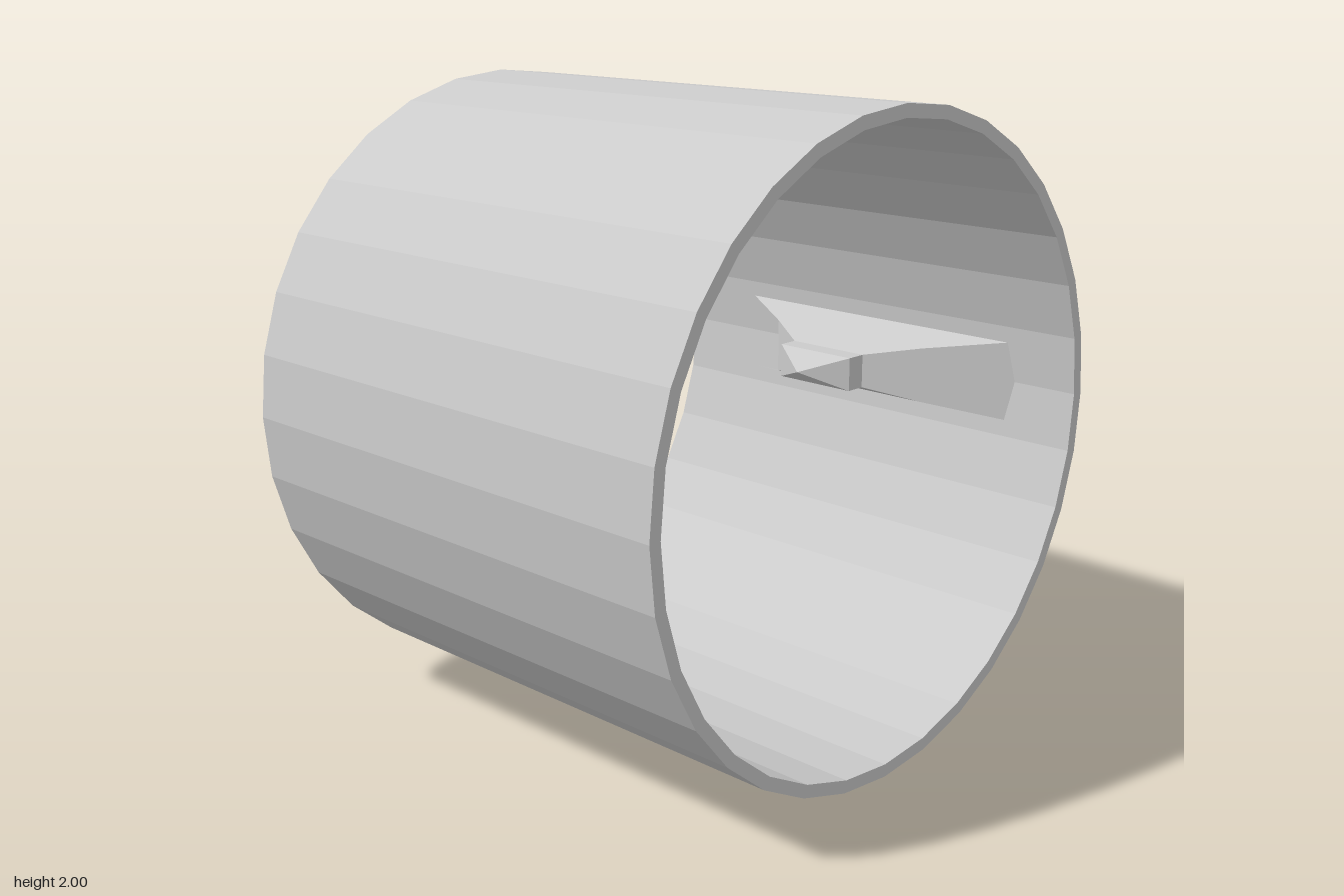
import * as THREE from 'three';

const SIDES = 32;

// regular polygon points centred on the origin
function ring(radius) {
  return Array.from({ length: SIDES }, (_, i) => {
    const a = (i / SIDES) * Math.PI * 2;
    return new THREE.Vector2(Math.cos(a) * radius, Math.sin(a) * radius);
  });
}

// inner fin: rectangular sections running from the wall to a point
function finGeometry(side) {
  // [distance from axis, half height, back z, front z]
  const sections = [
    [0.97, 0.14, -0.565, 0.63],
    [0.82, 0.093, -0.3, 0.33],
    [0.73, 0.057, -0.15, 0.15],
    [0.66, 0.057, -0.15, 0.15],
    [0.565, 0, 0, 0],
  ];
  const corners = sections.map(([x, h, back, front]) => [
    [side * x, h, back], [side * x, h, front],
    [side * x, -h, front], [side * x, -h, back],
  ]);
  const positions = [];
  const triangle = (a, b, c) => positions.push(...(side > 0 ? [a, c, b] : [a, b, c]).flat());
  for (let i = 0; i < corners.length - 1; i++) {
    for (let j = 0; j < 4; j++) {
      // the back stays open next to the wall, leaving two prongs
      if (i === 0 && j === 3) continue;
      const k = (j + 1) % 4;
      const [a, b, c, d] = [corners[i][j], corners[i][k], corners[i + 1][k], corners[i + 1][j]];
      triangle(a, b, c);
      if (i < corners.length - 2) triangle(a, c, d);
    }
  }
  const geometry = new THREE.BufferGeometry();
  geometry.setAttribute('position', new THREE.Float32BufferAttribute(positions, 3));
  geometry.computeVertexNormals();
  return geometry;
}

export function createModel() {
  const model = new THREE.Group();
  const material = new THREE.MeshStandardMaterial({ color: 0xcccccc, flatShading: true });
  const finMaterial = material.clone();
  finMaterial.side = THREE.DoubleSide;

  // open faceted tube lying along z
  const shape = new THREE.Shape(ring(1));
  shape.holes.push(new THREE.Path(ring(0.96)));
  const tube = new THREE.Mesh(
    new THREE.ExtrudeGeometry(shape, { depth: 1.67, bevelEnabled: false }),
    material,
  );
  tube.name = 'tubeShell';
  tube.position.set(0, 1, -0.835);
  model.add(tube);

  // pair of mirrored fins pointing inward
  for (const side of [1, -1]) {
    const fin = new THREE.Mesh(finGeometry(side), finMaterial);
    fin.name = side > 0 ? 'leftInnerFin' : 'rightInnerFin';
    fin.position.y = 1;
    model.add(fin);
  }
  return model;
}
